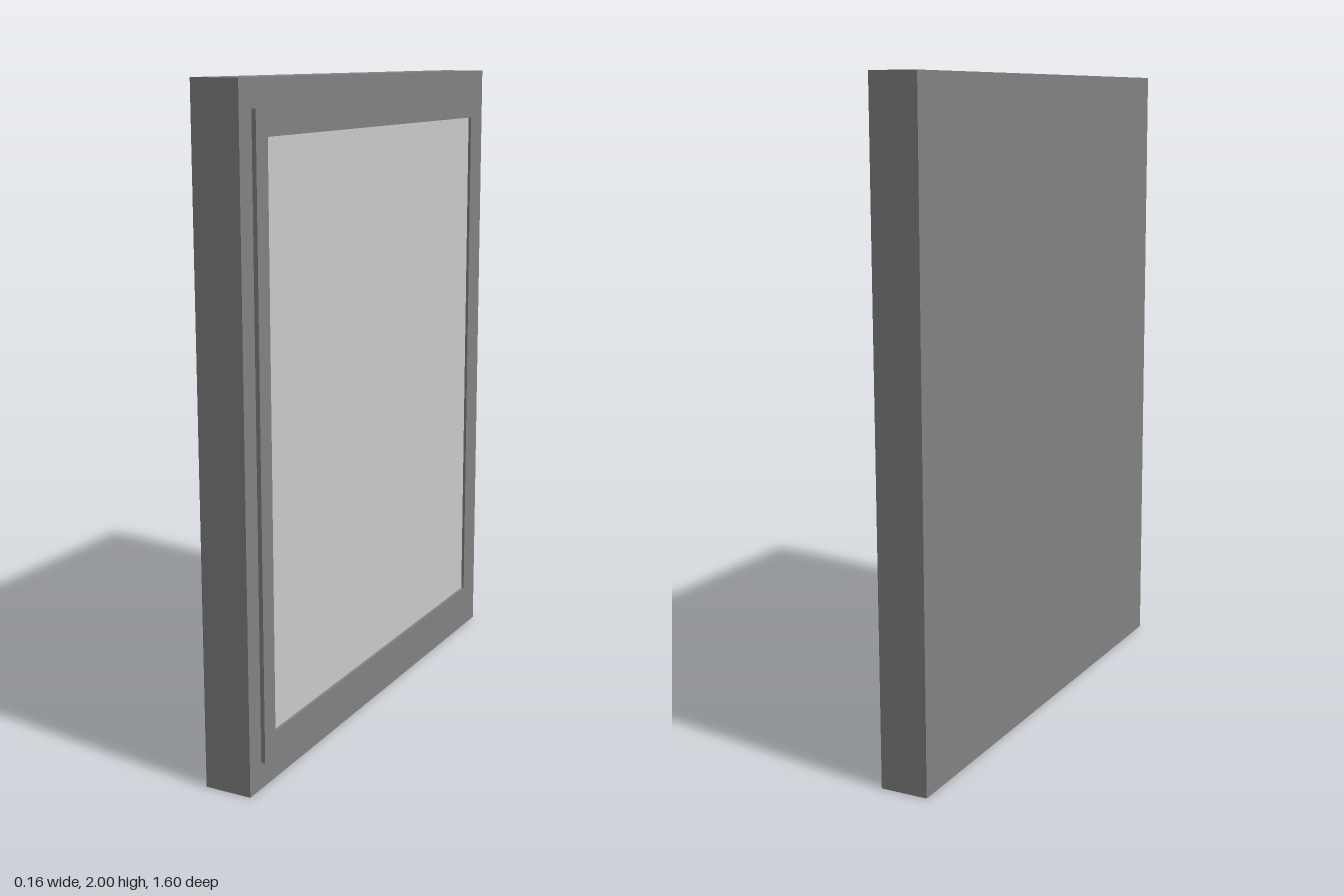
import * as THREE from 'three';

export function createModel() {
  const group = new THREE.Group();
  const frameMat = new THREE.MeshStandardMaterial({ color: 0x838383 });
  const panelMat = new THREE.MeshStandardMaterial({ color: 0xcccccc });
  const midY = 1;

  // Box given by its x range and its height and depth, centred on the panel
  const slab = (name, x0, x1, height, depth, material) => {
    const mesh = new THREE.Mesh(new THREE.BoxGeometry(x1 - x0, height, depth), material);
    mesh.name = name;
    mesh.position.set((x0 + x1) / 2, midY, 0);
    group.add(mesh);
  };

  // Rectangle path in the shape plane
  const rect = (path, w, h) => path
    .moveTo(-w / 2, -h / 2).lineTo(w / 2, -h / 2)
    .lineTo(w / 2, h / 2).lineTo(-w / 2, h / 2).closePath();

  // Thick backing board
  slab('backingBoard', -0.08, 0.067, 2, 1.6, frameMat);

  // Thin raised border with a rectangular opening, facing +x
  const border = rect(new THREE.Shape(), 1.475, 1.84);
  border.holes.push(rect(new THREE.Path(), 1.355, 1.69));
  const lip = new THREE.Mesh(
    new THREE.ExtrudeGeometry(border, { depth: 0.015, bevelEnabled: false }), frameMat);
  lip.name = 'raisedBorder';
  lip.rotation.y = Math.PI / 2;
  lip.position.set(0.065, midY, 0);
  group.add(lip);

  // Pale panel, slightly recessed in the border
  slab('panel', 0.06, 0.071, 1.69, 1.355, panelMat);

  return group;
}
